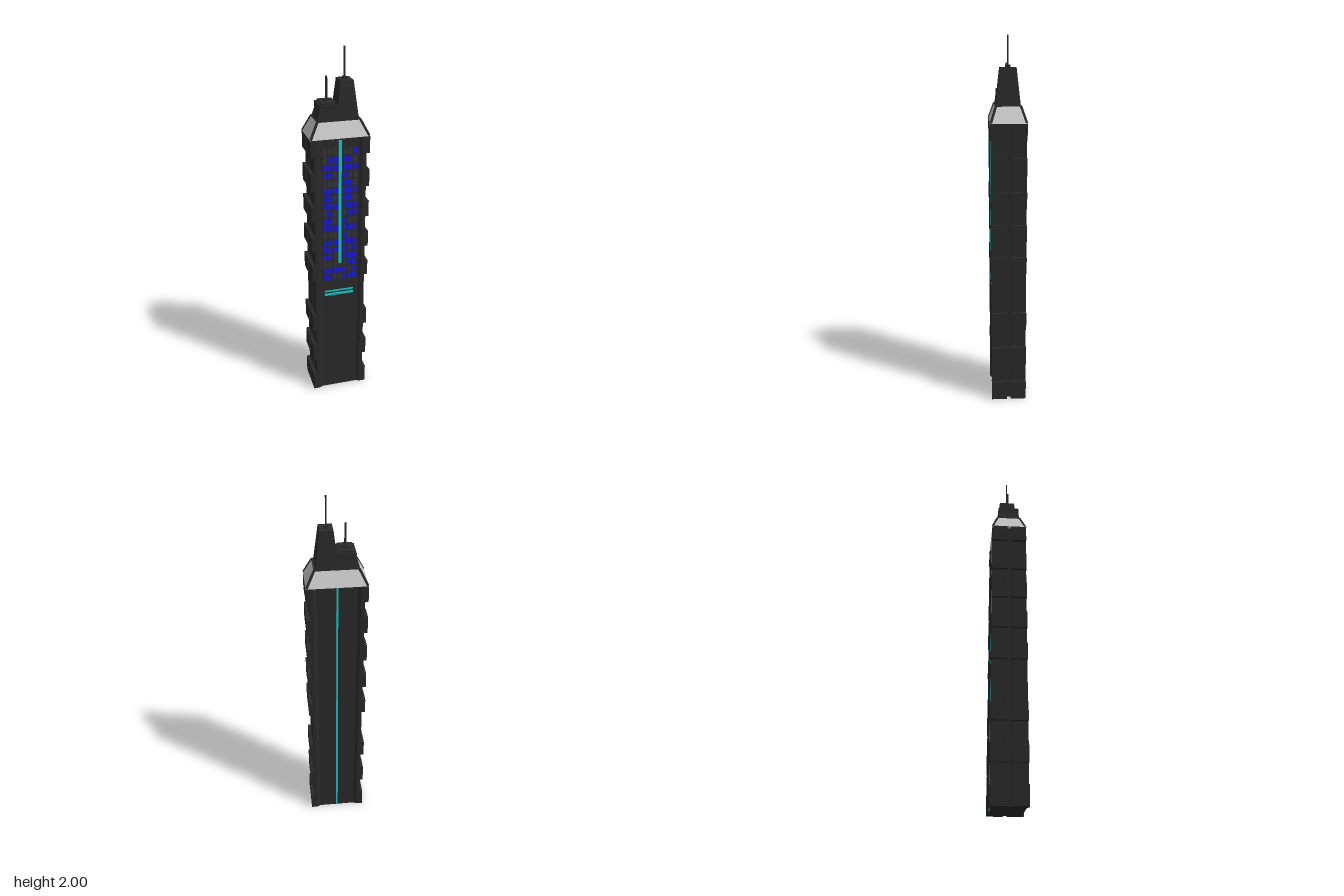
import * as THREE from 'three';

const mat = (c) => new THREE.MeshStandardMaterial({ color: c, flatShading: true });

export function createModel() {
  const model = new THREE.Group();
  model.name = 'skyscraper';
  const dark = mat(0x2a2a2a), grey = mat(0xcccccc), blue = mat(0x1818e0), cyan = mat(0x14c8c8), dim = mat(0x363636);

  const add = (parent, name, geo, m) => {
    const mesh = new THREE.Mesh(geo, m);
    mesh.name = name;
    parent.add(mesh);
    return mesh;
  };
  const group = (name) => {
    const g = new THREE.Group();
    g.name = name;
    model.add(g);
    return g;
  };
  // Box given by its limits
  const box = (parent, name, m, x0, x1, y0, y1, z0, z1) => {
    const mesh = add(parent, name, new THREE.BoxGeometry(x1 - x0, y1 - y0, z1 - z0), m);
    mesh.position.set((x0 + x1) / 2, (y0 + y1) / 2, (z0 + z1) / 2);
    return mesh;
  };
  // Tapered block: [x0, x1, z half-depth] at the bottom and at the top
  const taper = (parent, name, m, y0, y1, bottom, top) => {
    const geo = new THREE.BoxGeometry(1, 1, 1);
    const p = geo.attributes.position;
    for (let i = 0; i < p.count; i++) {
      const up = p.getY(i) > 0;
      const [x0, x1, d] = up ? top : bottom;
      p.setXYZ(i, p.getX(i) > 0 ? x1 : x0, up ? y1 : y0, p.getZ(i) > 0 ? d : -d);
    }
    geo.computeVertexNormals();
    return add(parent, name, geo, m);
  };
  const bar = (parent, name, m, a, b, r0, r1) => {
    const dir = b.clone().sub(a);
    const mesh = add(parent, name, new THREE.CylinderGeometry(r1, r0, dir.length(), 6), m);
    mesh.position.copy(a).add(b).multiplyScalar(0.5);
    mesh.quaternion.setFromUnitVectors(new THREE.Vector3(0, 1, 0), dir.normalize());
    return mesh;
  };
  const V = (x, y, z) => new THREE.Vector3(x, y, z);

  // Shaft: plan with recessed front and back panels and a groove in each side
  const quarter = [[0.135, 0.01], [0.14, 0.012], [0.14, 0.095], [0.12, 0.095], [0.105, 0.086]];
  const back = [...quarter].reverse();
  const plan = [
    ...quarter,
    ...back.map(([x, z]) => [-x, z]),
    ...quarter.map(([x, z]) => [-x, -z]),
    ...back.map(([x, z]) => [x, -z]),
  ].map(([x, z]) => new THREE.Vector2(x, z));
  const shaft = new THREE.ExtrudeGeometry(new THREE.Shape(plan), { depth: 1.56, bevelEnabled: false });
  shaft.rotateX(-Math.PI / 2);
  add(model, 'shaft', shaft, dark);

  // Projecting side blocks, split by the groove
  const blocks = group('sideBlocks');
  const levels = [[0, 0.105], [0.21, 0.315], [0.42, 0.52], [0.75, 0.84], [0.93, 1.02], [1.11, 1.2], [1.285, 1.38], [1.47, 1.56]];
  for (const [y0, y1] of levels) {
    for (const s of [-1, 1]) {
      for (const t of [-1, 1]) {
        const xs = [s * 0.125, s * 0.158].sort((a, b) => a - b);
        const zs = [t * 0.01, t * 0.096].sort((a, b) => a - b);
        box(blocks, 'sideBlock', dark, xs[0], xs[1], y0, y1, zs[0], zs[1]);
      }
    }
  }

  // Window grid, 1 = lit
  const windows = group('windows');
  const rows = [
    '0000001', '0111110', '1111111', '1101100', '0000110', '1111111',
    '1101110', '1111111', '0101011', '1101100', '1111111', '0001100',
    '1111111', '1111101', '1100111', '0000011', '1111101', '1100111',
  ];
  rows.forEach((row, j) => {
    [...row].forEach((lit, i) => {
      const x = (i - 3) * 0.0272, y = 1.49 - j * 0.0434;
      box(windows, 'window', lit === '1' ? blue : dim, x - 0.01, x + 0.01, y - 0.016, y + 0.016, 0.08, 0.089);
    });
  });

  // Light strips
  const strips = group('lightStrips');
  box(strips, 'frontStrip', cyan, -0.008, 0.008, 0.84, 1.55, 0.08, 0.093);
  box(strips, 'upperLine', cyan, -0.087, 0.078, 0.662, 0.67, 0.08, 0.091);
  box(strips, 'lowerLine', cyan, -0.087, 0.078, 0.638, 0.651, 0.08, 0.091);
  box(strips, 'backStrip', cyan, -0.005, 0.005, 0, 1.56, -0.09, -0.08);

  // Sloping crown with dark corner ribs and rim
  const crown = group('crown');
  taper(crown, 'crownSlopes', grey, 1.56, 1.645, [-0.158, 0.158, 0.096], [-0.114, 0.114, 0.066]);
  for (const s of [-1, 1]) {
    for (const t of [-1, 1]) {
      bar(crown, 'crownRib', dark, V(s * 0.154, 1.562, t * 0.092), V(s * 0.112, 1.645, t * 0.064), 0.007, 0.007);
    }
  }
  box(crown, 'crownRim', dark, -0.115, 0.115, 1.642, 1.65, -0.067, 0.067);

  // Low roof tower
  const low = group('lowTower');
  taper(low, 'lowTowerBase', dark, 1.65, 1.69, [-0.11, 0.02, 0.063], [-0.098, 0.01, 0.058]);
  box(low, 'lowTowerBody', dark, -0.098, 0.002, 1.69, 1.725, -0.058, 0.058);
  box(low, 'lowTowerTop', dark, -0.087, -0.01, 1.725, 1.735, -0.05, 0.05);
  box(low, 'antennaFoot', dark, -0.066, -0.032, 1.735, 1.745, -0.015, 0.015);
  box(low, 'antenna', dark, -0.054, -0.044, 1.74, 1.86, -0.005, 0.005);

  // Tall roof tower
  const tall = group('tallTower');
  taper(tall, 'tallTowerBody', dark, 1.65, 1.84, [-0.008, 0.105, 0.064], [0.013, 0.082, 0.043]);
  box(tall, 'antennaFoot', dark, 0.037, 0.055, 1.84, 1.853, -0.013, 0.013);
  box(tall, 'antenna', dark, 0.0425, 0.0495, 1.85, 2.0, -0.0035, 0.0035);

  return model;
}
